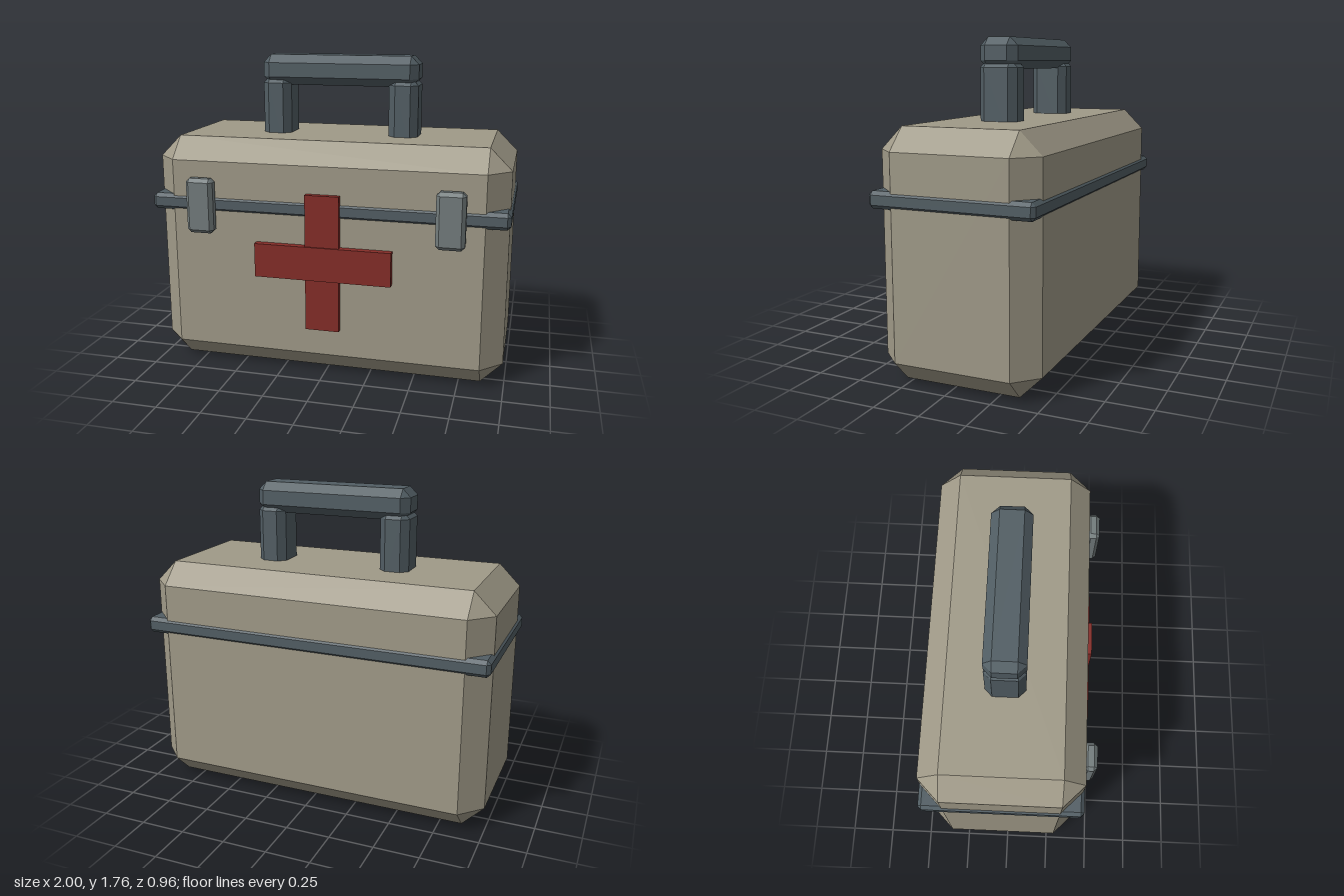
import * as THREE from 'three';
import { ConvexGeometry } from 'three/addons/geometries/ConvexGeometry.js';

const paint = (color) => new THREE.MeshStandardMaterial({ color, flatShading: true });

// Box given by its min/max corners, with every edge cut off at 45 degrees by c.
function chamferBox(min, max, c) {
  const centre = min.map((v, i) => (v + max[i]) / 2);
  const half = min.map((v, i) => (max[i] - v) / 2);
  const points = [];
  for (const sx of [-1, 1]) for (const sy of [-1, 1]) for (const sz of [-1, 1]) {
    // three points per corner, each lying on one of the faces
    for (let face = 0; face < 3; face++) {
      const p = [sx, sy, sz].map((s, i) => centre[i] + s * (half[i] - (i === face ? 0 : c)));
      points.push(new THREE.Vector3(...p));
    }
  }
  return new ConvexGeometry(points);
}

function plainBox(min, max) {
  const size = min.map((v, i) => max[i] - v);
  const geometry = new THREE.BoxGeometry(...size);
  geometry.translate(...min.map((v, i) => (v + max[i]) / 2));
  return geometry;
}

export function createModel() {
  const model = new THREE.Group();
  model.name = 'firstAidCase';

  const beige = paint(0xa09a88);
  const darkGrey = paint(0x525e64);
  const steel = paint(0x737c7d);
  const red = paint(0x852d28);

  const add = (name, geometry, material, parent = model) => {
    const mesh = new THREE.Mesh(geometry, material);
    mesh.name = name;
    parent.add(mesh);
  };

  // Case and the band around the lid seam
  add('caseBody', chamferBox([-0.99, 0, -0.47], [0.99, 1.32, 0.41], 0.12), beige);
  add('seamBand', chamferBox([-1, 0.912, -0.48], [1, 1.003, 0.42], 0.02), darkGrey);

  // Carrying handle: grip on two posts sunk into the lid
  const handle = new THREE.Group();
  handle.name = 'handle';
  model.add(handle);
  add('handleGrip', chamferBox([-0.45, 1.595, -0.137], [0.45, 1.765, 0.08], 0.045), darkGrey, handle);

  // Posts and clasps, one per side
  for (const [side, s] of [['left', 1], ['right', -1]]) {
    const px = s * 0.367;
    add(`${side}HandlePost`,
      chamferBox([px - 0.083, 1.22, -0.137], [px + 0.083, 1.645, 0.08], 0.04), darkGrey, handle);
    const cx = s * 0.695;
    add(`${side}Clasp`,
      chamferBox([cx - 0.078, 0.8, 0.405], [cx + 0.078, 1.11, 0.478], 0.02), steel);
  }

  // Raised cross on the front
  const cross = new THREE.Group();
  cross.name = 'frontCross';
  model.add(cross);
  add('crossUpright', plainBox([-0.095, 0.277, 0.39], [0.095, 1.047, 0.443]), red, cross);
  add('crossBar', plainBox([-0.384, 0.567, 0.39], [0.384, 0.758, 0.451]), red, cross);

  return model;
}
